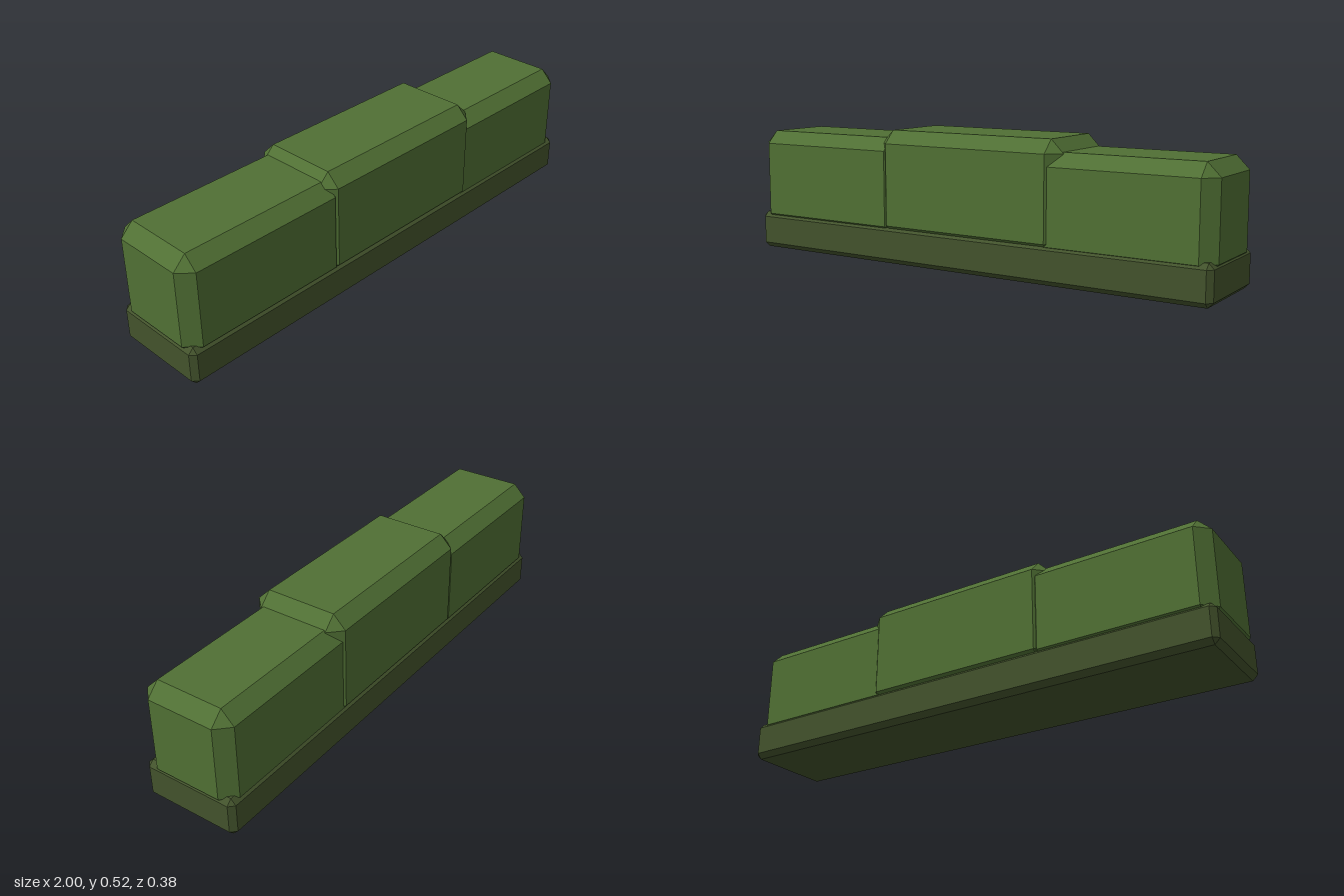
import * as THREE from 'three';
import { ConvexGeometry } from 'three/addons/geometries/ConvexGeometry.js';

// Box with every edge cut at 45 degrees and a triangular facet at each corner
function chamferBox(x0, x1, y0, y1, halfDepth, c) {
  const hx = (x1 - x0) / 2, hy = (y1 - y0) / 2, hz = halfDepth;
  const points = [];
  for (const sx of [-1, 1]) for (const sy of [-1, 1]) for (const sz of [-1, 1]) {
    points.push(
      new THREE.Vector3(sx * hx, sy * (hy - c), sz * (hz - c)),
      new THREE.Vector3(sx * (hx - c), sy * hy, sz * (hz - c)),
      new THREE.Vector3(sx * (hx - c), sy * (hy - c), sz * hz)
    );
  }
  return new ConvexGeometry(points).translate((x0 + x1) / 2, (y0 + y1) / 2, 0);
}

export function createModel() {
  const group = new THREE.Group();
  group.name = 'hedge';

  const leaf = new THREE.MeshStandardMaterial({ color: 0x507034 });
  leaf.name = 'leaf green';
  const dark = new THREE.MeshStandardMaterial({ color: 0x43532c });
  dark.name = 'dark green';

  // name, x range, y range, half depth, chamfer, material
  const parts = [
    ['base', -1, 1, 0, 0.15, 0.19, 0.02, dark],
    ['rightHedgeBlock', -1, -0.29, 0.095, 0.49, 0.187, 0.05, leaf],
    ['middleHedgeBlock', -0.378, 0.425, 0.1, 0.52, 0.19, 0.05, leaf],
    ['leftHedgeBlock', 0.32, 1, 0.09, 0.475, 0.183, 0.05, leaf],
  ];
  for (const [name, x0, x1, y0, y1, halfDepth, c, material] of parts) {
    const mesh = new THREE.Mesh(chamferBox(x0, x1, y0, y1, halfDepth, c), material);
    mesh.name = name;
    group.add(mesh);
  }
  return group;
}
